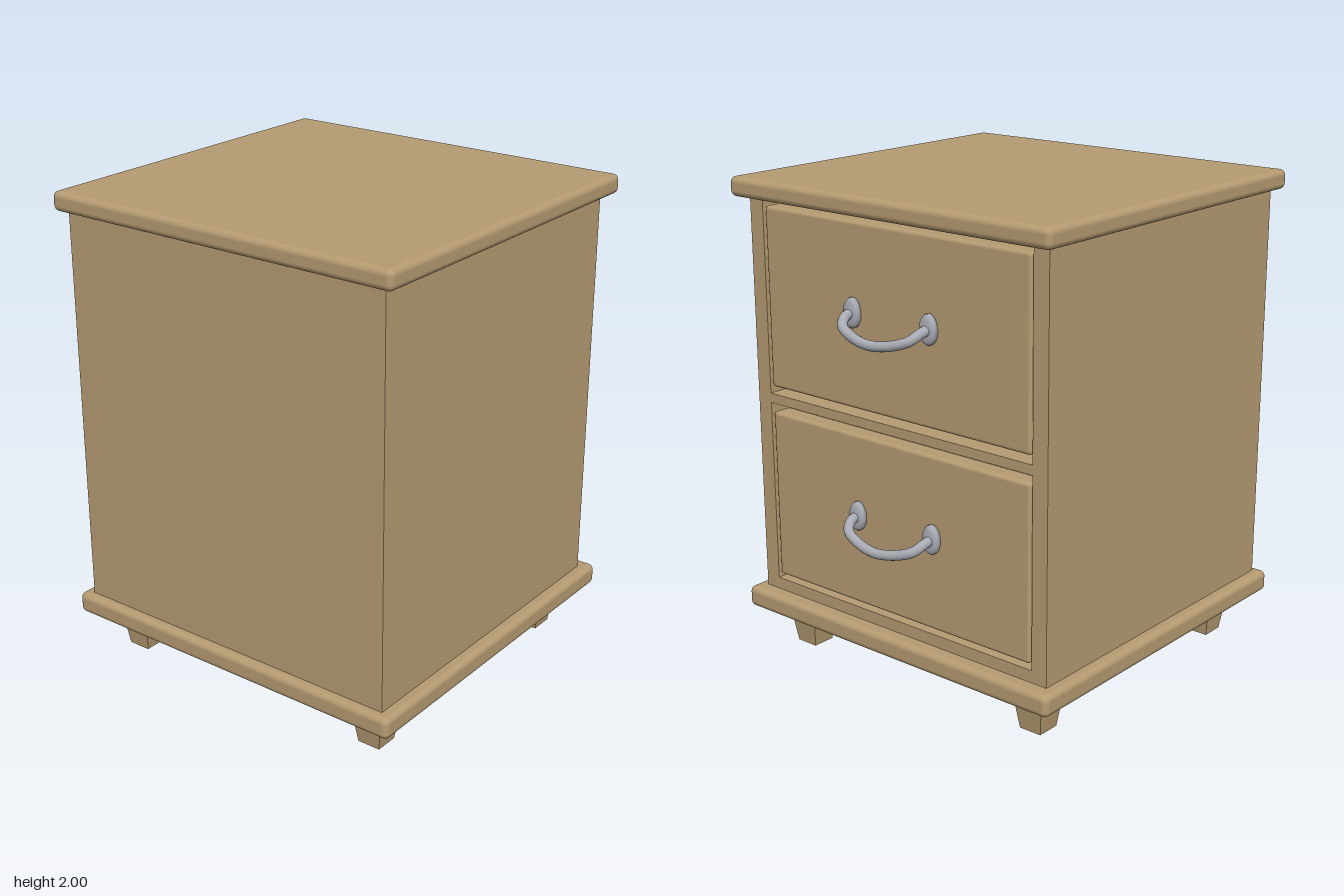
import * as THREE from 'three';
import { RoundedBoxGeometry } from 'three/addons/geometries/RoundedBoxGeometry.js';

const wood = new THREE.MeshStandardMaterial({ color: 0xb59b72 });
const metal = new THREE.MeshStandardMaterial({ color: 0xa8abb3 });

// Box given by its min and max on each axis; a radius rounds its edges
function box(name, [x0, x1], [y0, y1], [z0, z1], radius = 0) {
  const size = [x1 - x0, y1 - y0, z1 - z0];
  const geometry = radius
    ? new RoundedBoxGeometry(...size, 4, radius)
    : new THREE.BoxGeometry(...size);
  const mesh = new THREE.Mesh(geometry, wood);
  mesh.name = name;
  mesh.position.set((x0 + x1) / 2, (y0 + y1) / 2, (z0 + z1) / 2);
  return mesh;
}

// Square foot, narrower at the floor
function foot(x, z) {
  const geometry = new THREE.BoxGeometry(0.15, 0.18, 0.15);
  const p = geometry.attributes.position;
  for (let i = 0; i < p.count; i++) {
    if (p.getY(i) < 0) p.setXYZ(i, p.getX(i) * 0.66, p.getY(i), p.getZ(i) * 0.66);
  }
  geometry.computeVertexNormals();
  const mesh = new THREE.Mesh(geometry, wood);
  mesh.name = 'foot';
  mesh.position.set(x, 0.09, z);
  return mesh;
}

// Bowed, drooping pull on two oval domed rosettes
function handle(y) {
  const group = new THREE.Group();
  group.name = 'handle';
  group.position.set(0.665, y, 0);
  const half = [[0, 0, 0.195], [0.045, -0.006, 0.194], [0.085, -0.032, 0.172], [0.108, -0.058, 0.1]];
  const mirrored = half.map(([x, py, z]) => [x, py, -z]).reverse();
  const points = [...half, [0.119, -0.071, 0], ...mirrored].map((p) => new THREE.Vector3(...p));
  const bar = new THREE.Mesh(
    new THREE.TubeGeometry(new THREE.CatmullRomCurve3(points), 64, 0.02, 16), metal);
  bar.name = 'handleBar';
  group.add(bar);

  const profile = [[0, -0.01], [1, -0.01], [1, 0.012], [0.92, 0.02], [0.7, 0.026], [0, 0.03]]
    .map(([r, h]) => new THREE.Vector2(r * 0.06, h));
  for (const side of [-1, 1]) {
    const rosette = new THREE.Mesh(new THREE.LatheGeometry(profile, 32), metal);
    rosette.name = 'handleRosette';
    rosette.rotation.z = -Math.PI / 2;
    rosette.scale.z = 0.66;
    rosette.position.set(0, 0, side * 0.195);
    group.add(rosette);
  }
  return group;
}

// Drawer front with an open box behind it
function drawer(y0, y1, handleY) {
  const group = new THREE.Group();
  group.name = 'drawer';
  const boxY = [y0 + 0.01, y1 - 0.1];
  group.add(
    box('drawerFront', [0.58, 0.665], [y0, y1], [-0.67, 0.67], 0.015),
    box('drawerBottom', [-0.66, 0.59], [y0 + 0.01, y0 + 0.03], [-0.62, 0.62]),
    box('drawerBack', [-0.68, -0.65], boxY, [-0.64, 0.64]),
    box('drawerSide', [-0.66, 0.59], boxY, [0.61, 0.64]),
    box('drawerSide', [-0.66, 0.59], boxY, [-0.64, -0.61]),
    handle(handleY));
  return group;
}

export function createModel() {
  const model = new THREE.Group();
  model.name = 'drawerCabinet';

  // Rounded slabs above and below the carcass
  model.add(
    box('top', [-0.81, 0.73], [1.92, 2], [-0.8, 0.8], 0.025),
    box('base', [-0.81, 0.73], [0.17, 0.26], [-0.8, 0.8], 0.025));

  // Carcass
  model.add(
    box('backPanel', [-0.77, -0.7], [0.25, 1.93], [-0.75, 0.75]),
    box('bottomPanel', [-0.7, 0.665], [0.25, 0.31], [-0.68, 0.68]),
    box('middleShelf', [-0.7, 0.665], [1.08, 1.12], [-0.68, 0.68]));
  for (const side of [-1, 1]) {
    const z = [0.68, 0.75].map((v) => v * side).sort((a, b) => a - b);
    model.add(box('sidePanel', [-0.7, 0.665], [0.25, 1.93], z));
    const runnerZ = [0.6, 0.68].map((v) => v * side).sort((a, b) => a - b);
    for (const y of [0.31, 1.12]) {
      model.add(box('drawerRunner', [-0.7, 0.56], [y, y + 0.022], runnerZ));
    }
  }

  model.add(drawer(0.33, 1.045, 0.71), drawer(1.15, 1.89, 1.537));

  for (const x of [-0.613, 0.535]) {
    for (const z of [-0.61, 0.61]) model.add(foot(x, z));
  }
  return model;
}
